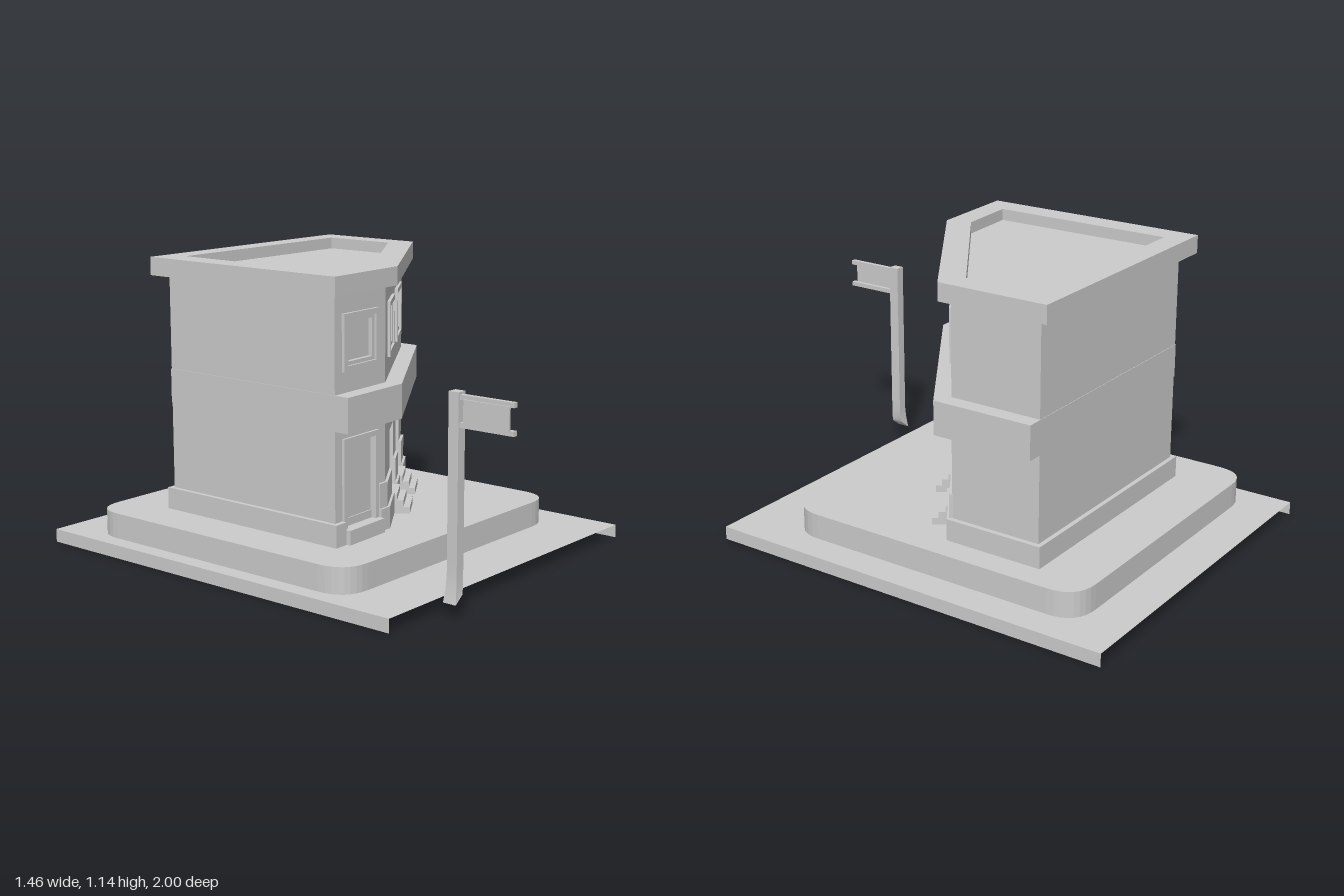
import * as THREE from 'three';

const mat = new THREE.MeshStandardMaterial({ color: 0xcccccc, side: THREE.DoubleSide });

// Wall corners in plan (x, z): front-left, front bend, right bend
const B = [-0.47, 0.235], C = [-0.165, 0.22], D = [0.485, -0.215];
const edge = (p, q) => {
  const dx = q[0] - p[0], dz = q[1] - p[1], l = Math.hypot(dx, dz);
  return { p, d: [dx / l, dz / l], n: [-dz / l, dx / l] };
};
const FRONT = edge(B, C), DIAG = edge(C, D);
const at = (e, t, out) => [e.p[0] + e.d[0] * t + e.n[0] * out, e.p[1] + e.d[1] * t + e.n[1] * out];

const DOORS = [0.283, 0.578], WINDOWS = [0.2, 0.54], FRONT_T = 0.148;

function mesh(geo, name, parent) {
  const m = new THREE.Mesh(geo, mat);
  m.name = name;
  parent.add(m);
  return m;
}

function box(parent, name, w, h, d, x, y, z) {
  const m = mesh(new THREE.BoxGeometry(w, h, d), name, parent);
  m.position.set(x, y, z);
  return m;
}

const toShape = pts => new THREE.Shape(pts.map(([x, z]) => new THREE.Vector2(x, -z)));

// Upright prism from a plan shape
function prism(parent, name, shape, y0, y1) {
  const geo = new THREE.ExtrudeGeometry(shape, { depth: y1 - y0, bevelEnabled: false, curveSegments: 8 });
  geo.rotateX(-Math.PI / 2);
  return mesh(geo, name, parent).position.setY(y0);
}

// Plan points of a recess cut into an edge
const notch = (e, t, w, depth, f) => [[-1, 0], [-1, 1], [1, 1], [1, 0]]
  .map(([s, inn]) => at(e, t + s * w / 2, inn ? -depth : f));

// Building outline: f = offset at the street sides, s = offset at left and back
function outline(f, s, frontCuts = [], diagCuts = []) {
  return [
    [B[0] - s, -0.59 - s], [B[0] - s, B[1] + f],
    ...frontCuts.flatMap(([t, w, d]) => notch(FRONT, t, w, d, f)),
    [C[0] + 0.32 * f, C[1] + f],
    ...diagCuts.flatMap(([t, w, d]) => notch(DIAG, t, w, d, f)),
    [D[0] + f, D[1] + 0.53 * f], [D[0] + f, -0.59 - s],
  ];
}

// Group whose local z points out of the wall
function onWall(parent, name, e, t) {
  const g = new THREE.Group();
  const [x, z] = at(e, t, 0);
  g.name = name;
  g.position.set(x, 0, z);
  g.rotation.y = Math.atan2(e.n[0], e.n[1]);
  parent.add(g);
  return g;
}

// Rectangular frame with an open centre
function frame(parent, name, w, h, b, y, z0, z1) {
  const rect = (C2, hw, hh) => new C2([[-hw, -hh], [hw, -hh], [hw, hh], [-hw, hh]].map(p => new THREE.Vector2(...p)));
  const s = rect(THREE.Shape, w / 2, h / 2);
  s.holes.push(rect(THREE.Path, w / 2 - b, h / 2 - b));
  const geo = new THREE.ExtrudeGeometry(s, { depth: z1 - z0, bevelEnabled: false });
  mesh(geo, name, parent).position.set(0, y, z0);
}

export function createModel() {
  const root = new THREE.Group();
  root.name = 'cornerBuilding';

  // Ground sheet with two folded sides
  const top = mesh(new THREE.PlaneGeometry(1.46, 1.69).rotateX(-Math.PI / 2), 'groundTop', root);
  top.position.set(0, 0.052, -0.155);
  for (const s of [-1, 1]) {
    const side = mesh(new THREE.PlaneGeometry(1.69, 0.052).rotateY(s * Math.PI / 2), 'groundSide', root);
    side.position.set(s * 0.73, 0.026, -0.155);
  }

  // Rounded pavement
  const [x0, x1, v0, v1, r] = [-0.67, 0.61, -0.45, 0.83, 0.125];
  const pave = new THREE.Shape();
  pave.moveTo(x0 + r, v0).lineTo(x1 - r, v0).quadraticCurveTo(x1, v0, x1, v0 + r)
    .lineTo(x1, v1 - r).quadraticCurveTo(x1, v1, x1 - r, v1)
    .lineTo(x0 + r, v1).quadraticCurveTo(x0, v1, x0, v1 - r)
    .lineTo(x0, v0 + r).quadraticCurveTo(x0, v0, x0 + r, v0);
  prism(root, 'pavement', pave, 0.055, 0.155);

  // Walls in storeys, with recesses for doors and windows
  const doorCuts = DOORS.map(t => [t, 0.166, 0.055]);
  const frontDoor = [[FRONT_T, 0.175, 0.015]];
  const layers = [
    [0.155, 0.485, frontDoor, doorCuts],
    [0.485, 0.53, frontDoor, []],
    [0.53, 0.81, [], []],
    [0.81, 0.98, [[FRONT_T, 0.17, 0.015]], WINDOWS.map(t => [t, 0.17, 0.015])],
    [0.98, 1.08, [], []],
  ];
  for (const [a, b, fc, dc] of layers) prism(root, 'wall', toShape(outline(0, 0, fc, dc)), a, b);

  // Skirting and the taller plinth along the angled front
  prism(root, 'skirting', toShape(outline(0.02, 0.018, [[FRONT_T, 0.215, 0.01]], doorCuts)), 0.155, 0.24);
  prism(root, 'plinth', toShape([
    [-0.21, -0.1], [-0.21, 0.233], [C[0] + 0.003, C[1] + 0.011],
    ...doorCuts.flatMap(([t, w, d]) => notch(DIAG, t, w, d, 0.011)),
    [0.491, -0.206], [0.45, -0.3],
  ]), 0.24, 0.335);

  // Band between the storeys
  prism(root, 'band', toShape(outline(0.063, 0.002)), 0.58, 0.712);

  // Roof parapet with sunken roof deck
  const parapet = toShape(outline(0.045, 0.05));
  const inner = [[-0.42, -0.55], [-0.42, 0.185], [-0.18, 0.17], [0.435, -0.245], [0.435, -0.55]];
  parapet.holes.push(toShape(inner));
  prism(root, 'parapet', parapet, 1.075, 1.145);
  prism(root, 'roofDeck', toShape(inner), 1.075, 1.1);

  // Windows
  for (const [e, t] of [[FRONT, FRONT_T], ...WINDOWS.map(t => [DIAG, t])]) {
    const g = onWall(root, 'window', e, t);
    frame(g, 'windowFrame', 0.212, 0.21, 0.02, 0.895, 0, 0.012);
    frame(g, 'windowSash', 0.172, 0.17, 0.014, 0.895, -0.014, 0.003);
  }

  // Front door with frame and doorstep
  const door = onWall(root, 'frontDoor', FRONT, FRONT_T);
  frame(door, 'doorFrame', 0.212, 0.39, 0.02, 0.35, -0.01, 0.01);
  box(door, 'doorStep', 0.212, 0.055, 0.05, 0, 0.1825, 0.012);

  // Steps of the two angled doorways
  for (const t of DOORS) {
    const g = onWall(root, 'doorSteps', DIAG, t);
    [[0.23, 0.03], [0.207, 0.055], [0.181, 0.08]].forEach(([y, out]) =>
      box(g, 'step', 0.166, y - 0.155, out + 0.055, 0, (y + 0.155) / 2, (out - 0.055) / 2));
  }

  // Street sign: post with a slanted, flared foot
  const sign = new THREE.Group();
  sign.name = 'streetSign';
  root.add(sign);
  const postGeo = new THREE.BoxGeometry(0.038, 0.74, 0.042, 1, 16, 1);
  const p = postGeo.attributes.position;
  for (let i = 0; i < p.count; i++) {
    const x = p.getX(i), y = p.getY(i);
    const flare = Math.max(0, (-0.3 - y) / 0.07);
    p.setZ(i, p.getZ(i) * (1 + 0.3 * flare));
    p.setX(i, x - 0.012 * flare);
    if (y < -0.36) p.setY(i, y + (x > 0 ? 0.03 : 0));
  }
  postGeo.computeVertexNormals();
  mesh(postGeo, 'post', sign).position.set(-0.457, 0.425, 0.761);
  for (const y of [0.682, 0.778]) box(sign, 'signRail', 0.018, 0.018, 0.22, -0.46, y, 0.89);
  box(sign, 'signPlate', 0.008, 0.085, 0.185, -0.47, 0.73, 0.892);

  return root;
}
